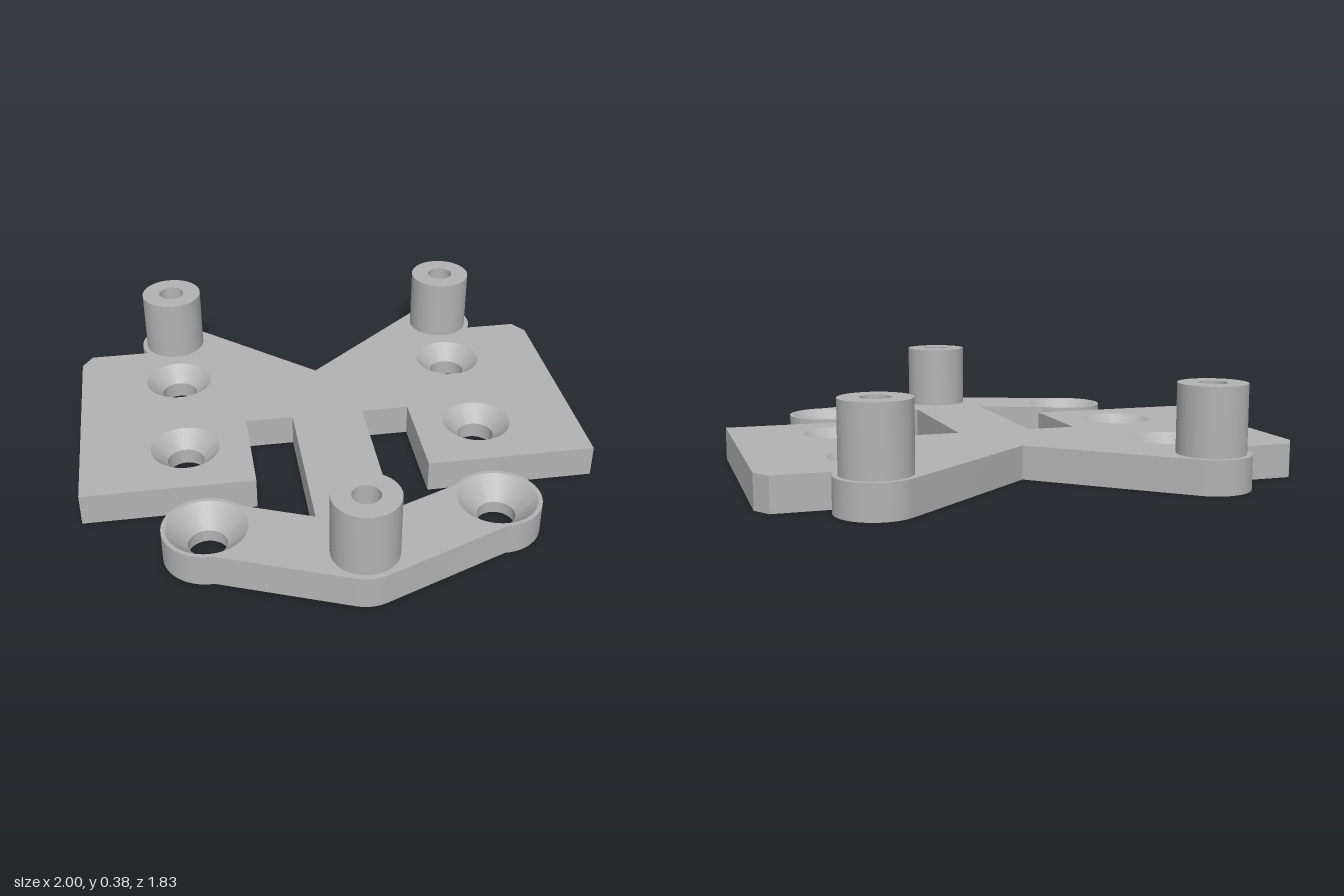
import * as THREE from 'three';
import { mergeGeometries, toCreasedNormals } from 'three/addons/utils/BufferGeometryUtils.js';

const PLATE = 0.127, POST_TOP = 0.378, POST_R = 0.125, BORE_R = 0.052;
const SINK_R = 0.072; // through hole under each countersink

// [x, z] of the standing posts
const posts = [[-0.59, -0.775], [0.62, -0.775], [0, 0.765]];
// [x, z, rim radius] of the countersunk screw holes
const sinks = [];
for (const s of [-1, 1]) {
  sinks.push([s * 0.59, -0.455, 0.135], [s * 0.59, 0.045, 0.135], [s * 0.54, 0.545, 0.15]);
}

// Points of a rounded lobe, angles in degrees, counterclockwise from above
function lobe(x, z, r, from, to) {
  const n = Math.ceil((to - from) / 7);
  return Array.from({ length: n + 1 }, (_, i) => {
    const a = THREE.MathUtils.degToRad(from + ((to - from) * i) / n);
    return [x + r * Math.cos(a), z - r * Math.sin(a)];
  });
}

// Plate outline as [x, z], counterclockwise from above
const rightSide = [[0.145, 0.55], [0.145, -0.1], [0.335, -0.1], [0.335, 0.3], [1, 0.3], [1, -0.635], [0.957, -0.7]];
const leftSide = rightSide.map(([x, z]) => [-x, z]).reverse();
const outline = [
  ...lobe(0, 0.765, 0.147, 248, 292),
  ...lobe(0.54, 0.545, 0.166, -93, 142),
  ...rightSide,
  ...lobe(0.62, -0.775, 0.145, -31, 130),
  [0, -0.44],
  ...lobe(-0.59, -0.775, 0.145, 48, 211),
  ...leftSide,
  ...lobe(-0.54, 0.545, 0.166, 38, 273),
];

// Flat plate face with round holes [x, z, r]
function face(holes, y, down) {
  const shape = new THREE.Shape(outline.map(([x, z]) => new THREE.Vector2(x, -z)));
  for (const [x, z, r] of holes) {
    shape.holes.push(new THREE.Path().absarc(x, -z, r, 0, Math.PI * 2, true));
  }
  const g = new THREE.ShapeGeometry(shape, 24).rotateX(-Math.PI / 2).translate(0, y, 0);
  if (down) g.setIndex([...g.index.array].reverse());
  const flat = g.toNonIndexed();
  flat.deleteAttribute('uv');
  flat.deleteAttribute('normal');
  return flat;
}

// Vertical wall around the outline
function rimWall() {
  const pos = [];
  outline.forEach(([ax, az], i) => {
    const [bx, bz] = outline[(i + 1) % outline.length];
    pos.push(ax, 0, az, bx, 0, bz, bx, PLATE, bz);
    pos.push(ax, 0, az, bx, PLATE, bz, ax, PLATE, az);
  });
  return new THREE.BufferGeometry().setAttribute('position', new THREE.Float32BufferAttribute(pos, 3));
}

export function createModel() {
  const group = new THREE.Group();
  const grey = new THREE.MeshStandardMaterial({ color: 0xb3b3b3 });
  grey.name = 'plain grey';

  const add = (name, geometry, x = 0, z = 0) => {
    const mesh = new THREE.Mesh(toCreasedNormals(geometry, Math.PI / 7), grey);
    mesh.name = name;
    mesh.position.set(x, 0, z);
    group.add(mesh);
  };
  const turned = (profile) =>
    new THREE.LatheGeometry(profile.map(([r, y]) => new THREE.Vector2(r, y)), 48);

  // Mounting plate
  const topHoles = [...sinks, ...posts.map(([x, z]) => [x, z, POST_R])];
  const bottomHoles = [
    ...sinks.map(([x, z]) => [x, z, SINK_R]),
    ...posts.map(([x, z]) => [x, z, BORE_R]),
  ];
  add('mountingPlate', mergeGeometries([face(topHoles, PLATE, false), face(bottomHoles, 0, true), rimWall()]));

  // Countersunk screw holes
  for (const [x, z, r] of sinks) {
    add('countersunkHole', turned([[r, PLATE], [SINK_R, PLATE - (r - SINK_R)], [SINK_R, 0]]), x, z);
  }

  // Hollow posts, bored through the plate
  for (const [x, z] of posts) {
    add('standoffPost', turned([[POST_R, PLATE], [POST_R, POST_TOP], [BORE_R, POST_TOP], [BORE_R, 0]]), x, z);
  }
  return group;
}
